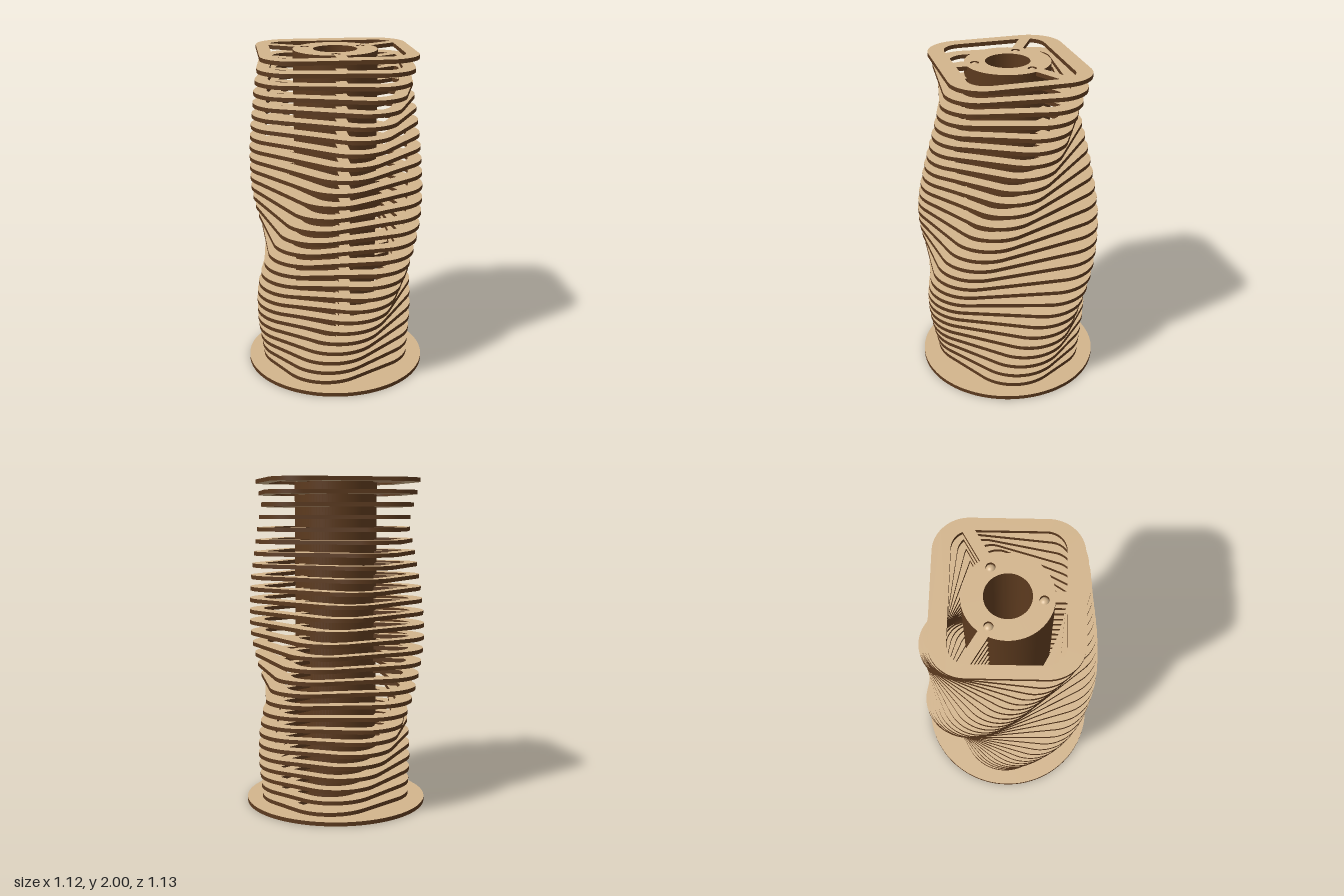
import * as THREE from 'three';
import { toCreasedNormals } from 'three/addons/utils/BufferGeometryUtils.js';

const SHEET = 2 / 83;      // thickness of one cut sheet
const RINGS = 28;          // every third sheet is a large ring
const HUB = 0.25, BORE = 0.13;
const SPOKES = [0, 2 * Math.PI / 3, -2 * Math.PI / 3];

const mat = (name, color) => {
  const m = new THREE.MeshStandardMaterial({ color });
  m.name = name;
  return m;
};

// Rounded rectangle with half sizes a, b and corner radius r
function roundedRect(Type, a, b, r) {
  const s = new Type();
  const x = a - r, y = b - r;
  s.absarc(x, y, r, 0, Math.PI / 2);
  s.absarc(-x, y, r, Math.PI / 2, Math.PI);
  s.absarc(-x, -y, r, Math.PI, 1.5 * Math.PI);
  s.absarc(x, -y, r, 1.5 * Math.PI, 2 * Math.PI);
  s.closePath();
  return s;
}

const circle = (Type, x, y, r) => {
  const c = new Type();
  c.absarc(x, y, r, 0, Math.PI * 2);
  return c;
};

// Flat shape raised along +y from y = 0
function raise(shape, height, curveSegments) {
  const g = new THREE.ExtrudeGeometry(shape, { depth: height, bevelEnabled: false, curveSegments });
  g.rotateX(-Math.PI / 2);
  return toCreasedNormals(g, 0.6);
}

// Distance from the centre to a contour in a given direction
function reach(shape, angle) {
  const dir = new THREE.Vector2(Math.cos(angle), Math.sin(angle));
  const hit = shape.getSpacedPoints(160).reduce((best, p) =>
    p.dot(dir) / p.length() > best.dot(dir) / best.length() ? p : best);
  return hit.length();
}

export function createModel() {
  const model = new THREE.Group();
  model.name = 'twistedLayerTower';
  const wood = mat('tanWood', 0xd2b48c);
  const edge = mat('darkCutEdge', 0x5c3a1e);

  const add = (parent, name, geometry, material) => {
    const mesh = new THREE.Mesh(geometry, material);
    mesh.name = name;
    parent.add(mesh);
    return mesh;
  };

  // Solid round base
  add(model, 'base', new THREE.CylinderGeometry(0.558, 0.558, SHEET, 96), [edge, wood, wood])
    .position.y = SHEET / 2;

  // Central tube with a bore and three pin holes
  const pins = [[0.19, 0], [-0.1, 0.17], [-0.112, -0.155]];
  const hubShape = circle(THREE.Shape, 0, 0, HUB);
  hubShape.holes.push(circle(THREE.Path, 0, 0, BORE));
  pins.forEach(([x, y]) => hubShape.holes.push(circle(THREE.Path, x, y, 0.026)));
  add(model, 'hub', raise(hubShape, 2 - SHEET, 40), [wood, edge]).position.y = SHEET;

  // Round pin ends set into the top of the hub
  pins.forEach(([x, y]) => {
    add(model, 'pin', new THREE.SphereGeometry(0.026, 24, 16), wood).position.set(x, 1.975, -y);
  });

  // Mean half size of the rings, from bottom to top
  const sizes = new THREE.SplineCurve(
    [0.408, 0.44, 0.469, 0.464, 0.436, 0.419, 0.433].map((s, i) => new THREE.Vector2(i, s)));

  // Twisting stack of rings, each tied to the hub by three spokes
  for (let i = 0; i < RINGS; i++) {
    const t = i / (RINGS - 1);
    const twist = t * THREE.MathUtils.degToRad(150);
    const size = sizes.getPoint(t).y;
    const skew = 0.023 + 0.008 * Math.sin(Math.PI * t);
    const a = size + skew, b = size - skew, r = 0.28 - 0.08 * t;

    const layer = new THREE.Group();
    layer.name = 'layer';
    layer.position.y = SHEET * (1 + 3 * i);
    model.add(layer);

    const outline = roundedRect(THREE.Shape, a, b, r);
    outline.holes.push(roundedRect(THREE.Path, a - 0.075, b - 0.1, r - 0.09));
    add(layer, 'ring', raise(outline, SHEET, 14), [wood, edge]).rotation.y = twist;

    for (const angle of SPOKES) {
      const length = reach(outline, angle - twist) - 0.05 - (HUB - 0.01);
      const bar = new THREE.BoxGeometry(length, SHEET, 0.064);
      bar.translate(HUB - 0.01 + length / 2, SHEET / 2, 0);
      add(layer, 'spoke', bar, [edge, edge, wood, wood, edge, edge]).rotation.y = angle;
    }
  }
  return model;
}
